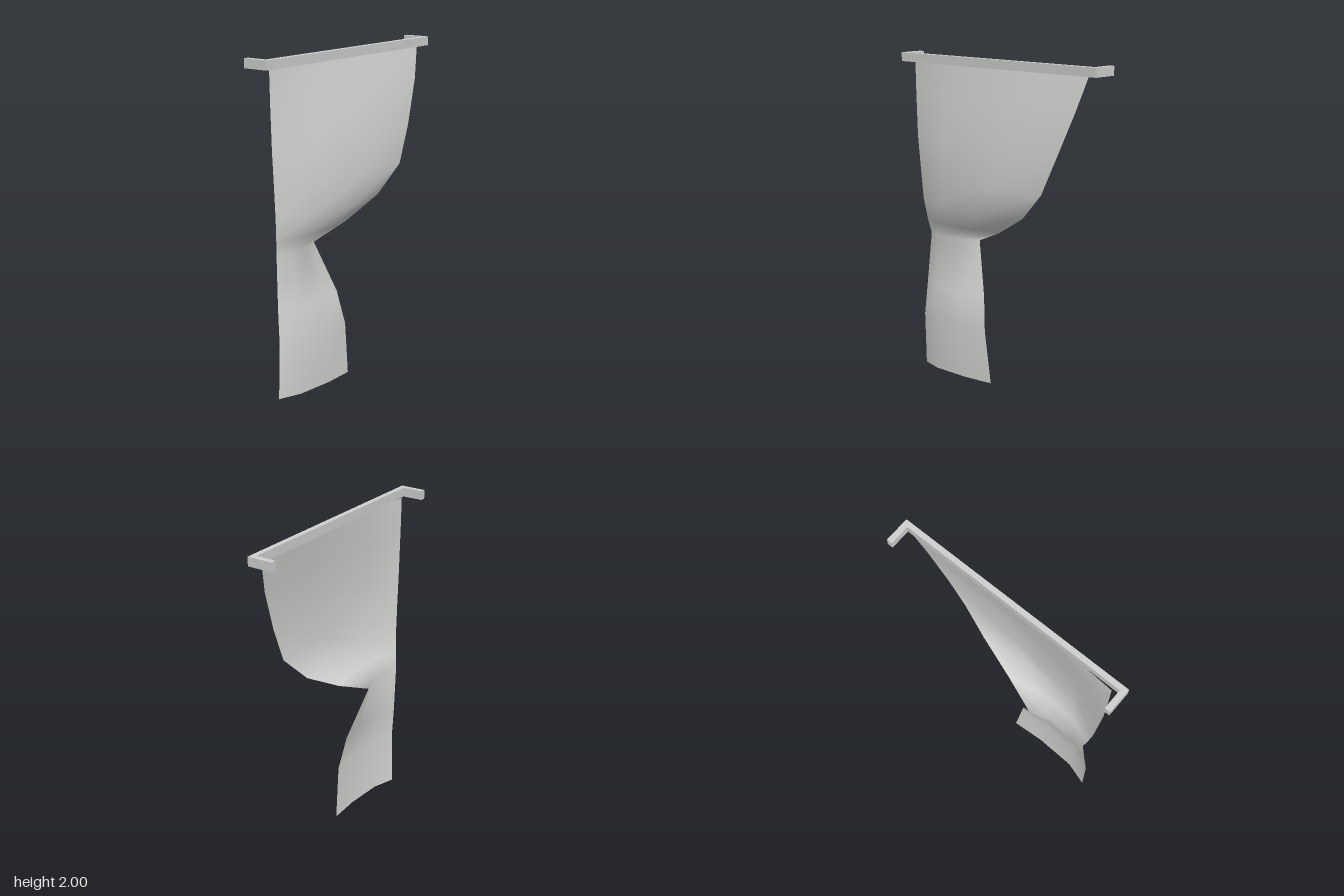
import * as THREE from 'three';

export function createModel() {
  const model = new THREE.Group();
  const railMat = new THREE.MeshStandardMaterial({ name: 'rail grey', color: 0xcdd0ce });
  const clothMat = new THREE.MeshStandardMaterial({ name: 'cloth grey', color: 0xd3d6d3, side: THREE.DoubleSide });

  // Curtain rail with a short return to the wall at each end, one extruded outline
  const outline = [[0.045, 0.77], [-0.115, 0.77], [-0.115, 0.735], [0.012, 0.735],
    [0.012, -0.735], [-0.115, -0.735], [-0.115, -0.77], [0.045, -0.77]];
  const shape = new THREE.Shape(outline.map(([x, z]) => new THREE.Vector2(x, -z)));
  const railGeo = new THREE.ExtrudeGeometry(shape, { depth: 0.055, bevelEnabled: false });
  railGeo.rotateX(-Math.PI / 2).translate(0, 1.945, 0);
  const rail = new THREE.Mesh(railGeo, railMat);
  rail.name = 'curtainRail';
  model.add(rail);

  // Tied-back cloth: rows of [y, z of straight edge, z of gathered edge, x at four folds]
  const folds = [0, 0.24, 0.66, 1];
  const rows = [
    [1.95, 0.695, -0.695, 0.00, 0.02, 0.025, 0.012],
    [1.75, 0.69, -0.63, 0.00, 0.05, 0.063, 0.045],
    [1.48, 0.68, -0.52, 0.00, 0.08, 0.11, 0.075],
    [1.25, 0.66, -0.415, -0.005, 0.085, 0.108, 0.088],
    [1.08, 0.645, -0.24, -0.01, 0.075, 0.10, 0.05],
    [0.95, 0.625, 0.00, -0.025, 0.025, 0.03, -0.01],
    [0.86, 0.607, 0.225, -0.04, -0.01, -0.03, -0.08],
    [0.54, 0.625, 0.11, -0.018, 0.03, 0.03, 0.005],
    [0.33, 0.635, 0.072, 0.00, 0.05, 0.063, 0.04],
    [0, 0.635, 0.032, -0.01, 0.035, 0.045, 0.03],
  ];
  const pos = [], index = [], n = folds.length;
  rows.forEach(([y, z0, z1, ...xs], r) => folds.forEach((t, c) => {
    pos.push(xs[c], y, z0 + (z1 - z0) * t);
    if (r && c) {
      const d = r * n + c, b = d - n;
      index.push(b - 1, d - 1, b, b, d - 1, d);
    }
  }));
  const cloth = new THREE.BufferGeometry();
  cloth.setAttribute('position', new THREE.Float32BufferAttribute(pos, 3));
  cloth.setIndex(index);
  cloth.computeVertexNormals();
  const curtain = new THREE.Mesh(cloth, clothMat);
  curtain.name = 'curtain';
  model.add(curtain);

  return model;
}
